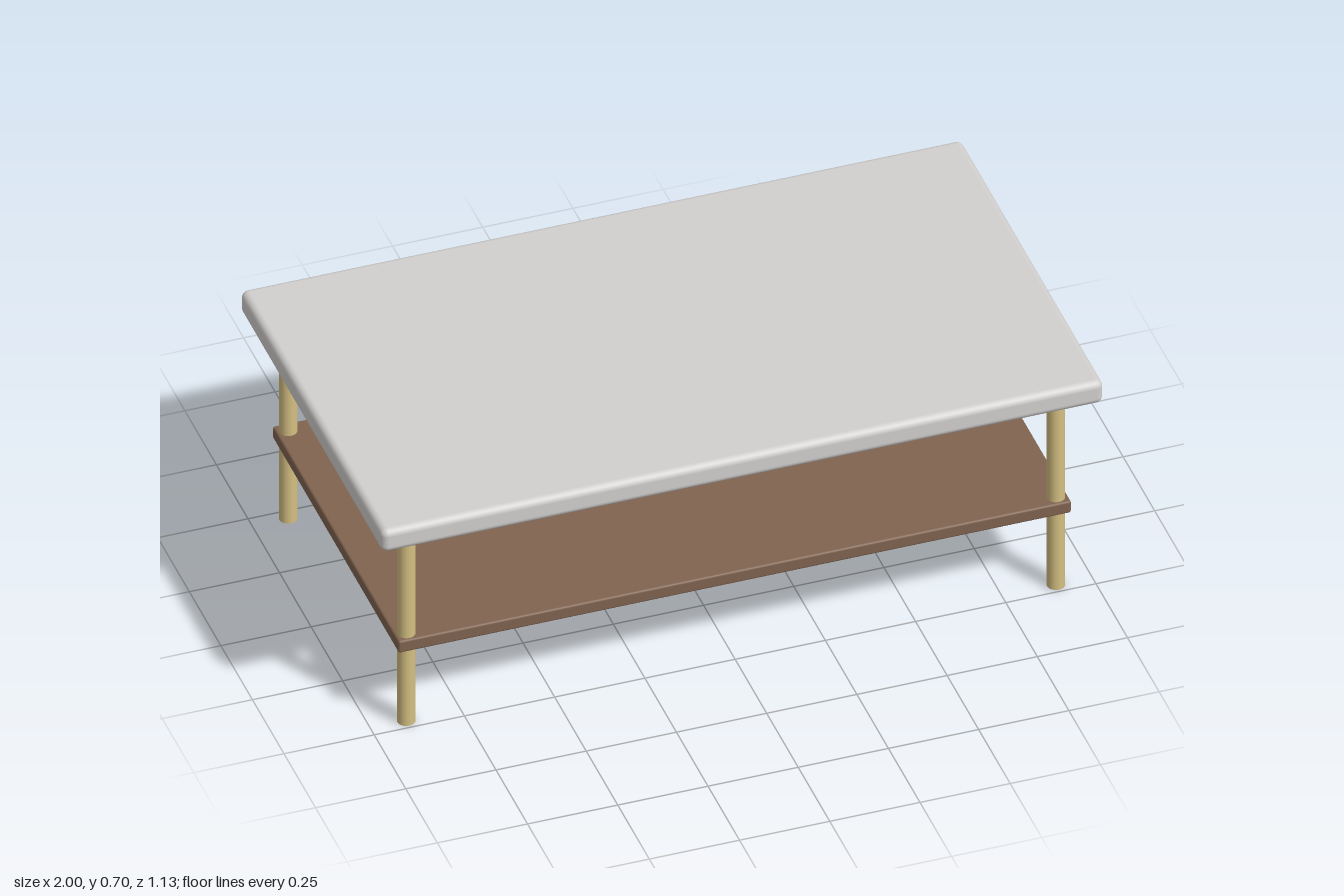
import * as THREE from 'three';
import { RoundedBoxGeometry } from 'three/addons/geometries/RoundedBoxGeometry.js';

const material = (name, color) => {
  const m = new THREE.MeshStandardMaterial({ color });
  m.name = name;
  return m;
};

export function createModel() {
  const group = new THREE.Group();
  group.name = 'coffeeTable';
  const stone = material('pale grey stone', 0xd2d0ce);
  const wood = material('brown wood', 0x80634f);
  const brass = material('soft brass', 0xd4bf82);

  const add = (name, geometry, mat, x, y, z) => {
    const mesh = new THREE.Mesh(geometry, mat);
    mesh.name = name;
    mesh.position.set(x, y, z);
    group.add(mesh);
  };

  // Softly rounded slab top
  add('tableTop', new RoundedBoxGeometry(2, 0.072, 1.13, 4, 0.02), stone, 0, 0.669, 0);

  // Lower shelf with slightly eased edges
  add('shelf', new RoundedBoxGeometry(1.864, 0.038, 1.0, 2, 0.006), wood, 0, 0.267, 0);

  // Four round legs passing through the shelf corners
  const legGeometry = new THREE.CylinderGeometry(0.0245, 0.0245, 0.64, 32);
  for (const [side, x] of [['Left', 0.9], ['Right', -0.9]]) {
    for (const [end, z] of [['front', 0.468], ['back', -0.468]]) {
      add(`${end}${side}Leg`, legGeometry, brass, x, 0.32, z);
    }
  }
  return group;
}
